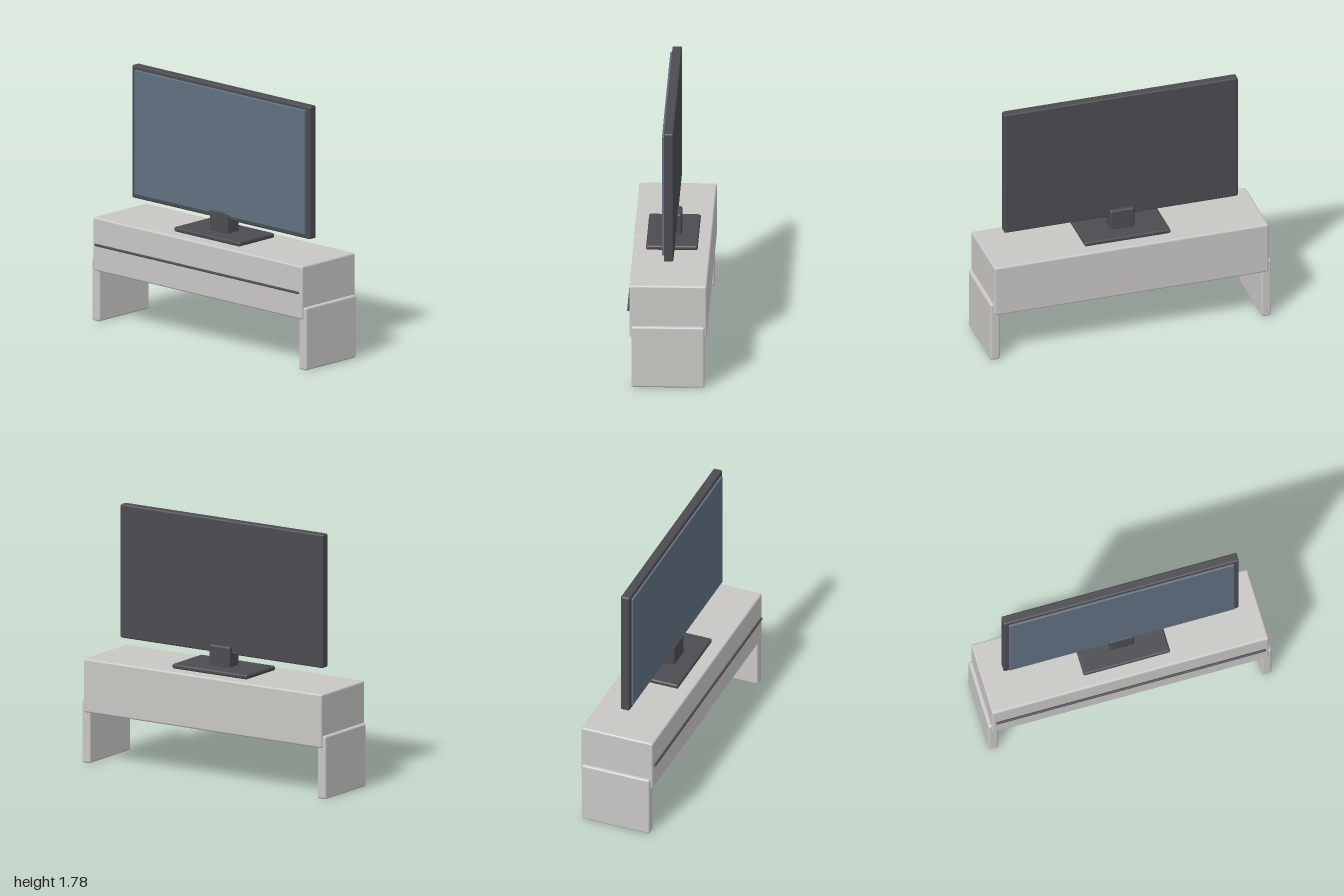
import * as THREE from 'three';
import { RoundedBoxGeometry } from 'three/addons/geometries/RoundedBoxGeometry.js';

export function createModel() {
  const group = new THREE.Group();
  const material = (name, color) => {
    const m = new THREE.MeshStandardMaterial({ color });
    m.name = name;
    return m;
  };
  const paleGrey = material('paleGrey', 0xc8c7c4);
  const charcoal = material('charcoal', 0x4c4b50);
  const screenBlue = material('screenBlue', 0x607080);

  // Rounded box given by its extents along each axis
  const block = (name, mat, [x0, x1], [y0, y1], [z0, z1], radius) => {
    const mesh = new THREE.Mesh(
      new RoundedBoxGeometry(x1 - x0, y1 - y0, z1 - z0, 4, radius), mat);
    mesh.position.set((x0 + x1) / 2, (y0 + y1) / 2, (z0 + z1) / 2);
    mesh.name = name;
    group.add(mesh);
  };

  // Cabinet on two slab legs
  block('cabinet', paleGrey, [-0.976, 0.976], [0.356, 0.73], [-0.27, 0.255], 0.014);
  block('leftLeg', paleGrey, [0.93, 1], [0, 0.439], [-0.255, 0.241], 0.014);
  block('rightLeg', paleGrey, [-1, -0.93], [0, 0.439], [-0.255, 0.241], 0.014);

  // Thin dark trim along the drawer front
  block('drawerTrim', charcoal, [-0.952, 0.952], [0.534, 0.55], [0.254, 0.271], 0.007);

  // Television stand
  block('standBase', charcoal, [-0.306, 0.306], [0.731, 0.764], [-0.185, 0.166], 0.013);
  block('standNeck', charcoal, [-0.086, 0.086], [0.755, 0.907], [-0.068, 0.05], 0.014);

  // Television body and its raised screen panel
  block('televisionBody', charcoal, [-0.831, 0.831], [0.85, 1.78], [-0.039, 0.026], 0.012);
  block('screen', screenBlue, [-0.795, 0.795], [0.88, 1.752], [0.016, 0.04], 0.006);

  return group;
}
